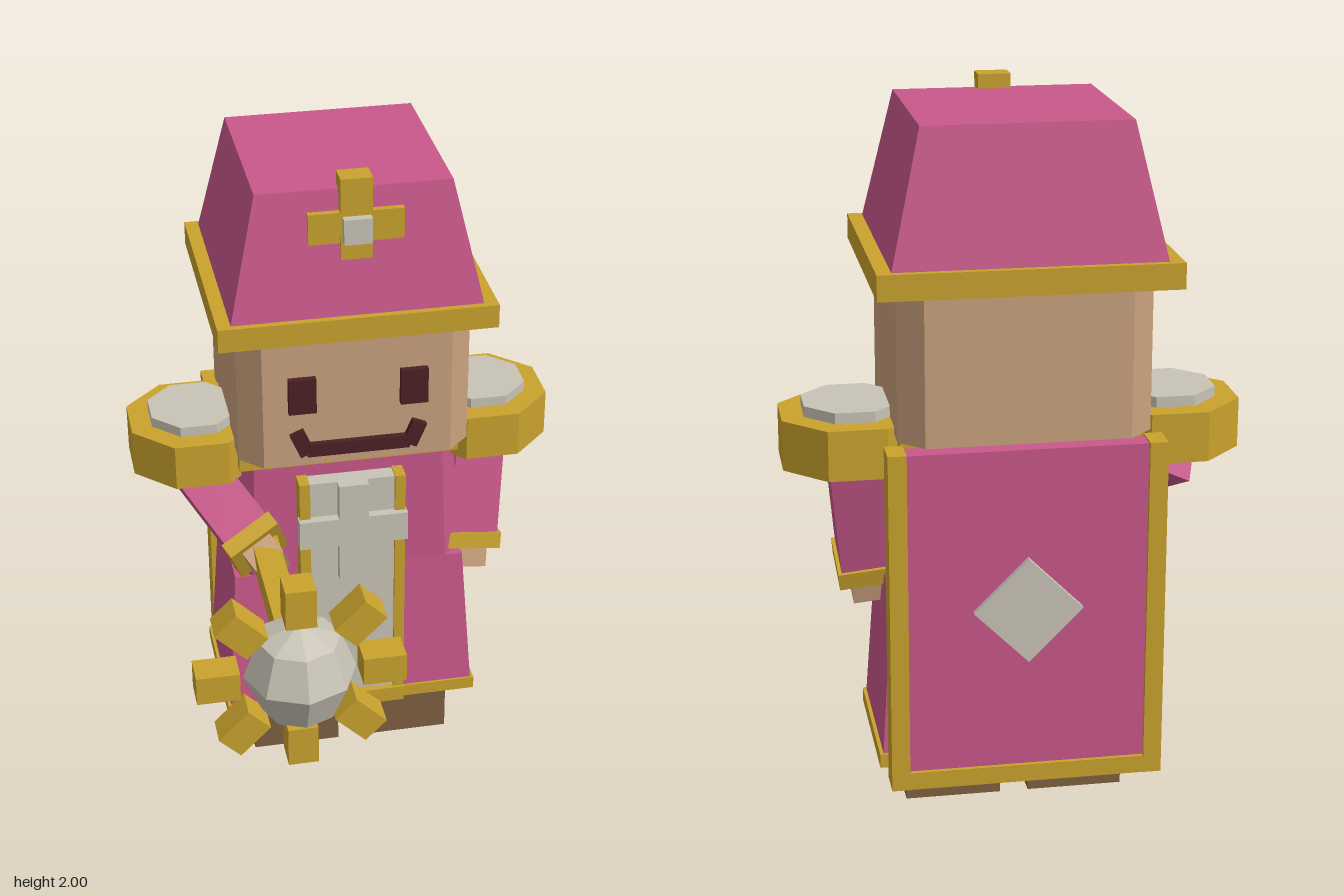
import * as THREE from 'three';

const mat = (name, color) => {
  const m = new THREE.MeshStandardMaterial({ color });
  m.name = name;
  return m;
};

export function createModel() {
  const pink = mat('pink cloth', 0xc8588a);
  const gold = mat('gold trim', 0xc9a22d);
  const silver = mat('silver', 0xc8c3b6);
  const skin = mat('skin', 0xc9a17d);
  const brown = mat('brown leather', 0x7d6040);
  const dark = mat('dark face paint', 0x4a2024);

  const model = new THREE.Group();
  model.name = 'mitredFigure';

  const add = (name, geo, material, parent = model) => {
    const m = new THREE.Mesh(geo, material);
    m.name = name;
    parent.add(m);
    return m;
  };
  // box from its minimum and maximum along each axis
  const box = (name, material, x0, x1, y0, y1, z0, z1, parent = model) => {
    const m = add(name, new THREE.BoxGeometry(x1 - x0, y1 - y0, z1 - z0), material, parent);
    m.position.set((x0 + x1) / 2, (y0 + y1) / 2, (z0 + z1) / 2);
    return m;
  };
  // narrow a geometry linearly towards its top
  const taper = (geo, sx, sz, h) => {
    const p = geo.attributes.position;
    for (let i = 0; i < p.count; i++) {
      const t = p.getY(i) / h + 0.5;
      p.setX(i, p.getX(i) * (1 + (sx - 1) * t));
      p.setZ(i, p.getZ(i) * (1 + (sz - 1) * t));
    }
    geo.computeVertexNormals();
    return geo;
  };
  // upright block with its four vertical edges cut off
  const cutBlock = (w, h, d, c) => {
    const a = w / 2, b = d / 2;
    const s = new THREE.Shape([[a, -b + c], [a, b - c], [a - c, b], [-a + c, b], [-a, b - c],
      [-a, -b + c], [-a + c, -b], [a - c, -b]].map(q => new THREE.Vector2(...q)));
    return new THREE.ExtrudeGeometry(s, { depth: h, bevelEnabled: false })
      .translate(0, 0, -h / 2).rotateX(-Math.PI / 2);
  };
  const flat = geo => {
    const g = geo.toNonIndexed();
    g.computeVertexNormals();
    return g;
  };

  // hat
  box('hatBrim', gold, -0.4, 0.4, 1.53, 1.6, -0.71, 0);
  add('hatCrown', taper(new THREE.BoxGeometry(0.72, 0.36, 0.67), 0.77, 0.82, 0.36), pink)
    .position.set(0, 1.78, -0.355);
  box('hatCrossUpright', gold, -0.045, 0.045, 1.76, 2, -0.112, -0.045);
  box('hatCrossBar', gold, -0.135, 0.135, 1.81, 1.9, -0.07, -0.05);
  box('hatGem', silver, -0.04, 0.04, 1.815, 1.89, -0.06, -0.02);

  // head and face
  add('head', cutBlock(0.68, 0.41, 0.635, 0.065), skin).position.set(0, 1.325, -0.3525);
  for (const s of [-1, 1]) {
    box('eye', dark, s * 0.1625 - 0.04, s * 0.1625 + 0.04, 1.3, 1.41, -0.04, -0.015);
    const corner = box('mouthCorner', dark, s * 0.165 - 0.022, s * 0.165 + 0.022,
      1.16, 1.238, -0.04, -0.0155);
    corner.rotation.z = -s * 0.4;
  }
  box('mouth', dark, -0.15, 0.15, 1.155, 1.195, -0.04, -0.015);

  // robe
  box('collar', gold, -0.33, 0.33, 1.04, 1.11, -0.575, -0.16);
  add('chest', taper(cutBlock(0.7, 0.4, 0.365, 0.05), 0.95, 0.98, 0.4), pink)
    .position.set(0, 0.85, -0.35);
  add('skirt', taper(new THREE.BoxGeometry(0.77, 0.46, 0.425), 0.92, 0.86, 0.46), pink)
    .position.set(0, 0.43, -0.35);
  box('hem', gold, -0.395, 0.395, 0.16, 0.2, -0.57, -0.13);

  // front panel with its cross
  box('frontPanel', silver, -0.13, 0.13, 0.18, 0.995, -0.18, -0.12);
  for (const s of [-1, 1])
    box('frontPanelEdge', gold, s * 0.145 - 0.016, s * 0.145 + 0.016, 0.18, 1, -0.18, -0.11);
  box('frontPanelHem', gold, -0.155, 0.16, 0.17, 0.22, -0.15, -0.1);
  box('chestCrossUpright', silver, -0.045, 0.045, 0.665, 0.995, -0.13, -0.09);
  box('chestCrossBar', silver, -0.165, 0.165, 0.785, 0.88, -0.13, -0.091);

  // cape
  box('cape', pink, -0.35, 0.35, 0.16, 1.1, -0.662, -0.6);
  for (const s of [-1, 1])
    box('capeEdge', gold, s * 0.35 - 0.025, s * 0.35 + 0.025, 0.14, 1.105, -0.675, -0.59);
  box('capeHem', gold, -0.34, 0.34, 0.14, 0.19, -0.674, -0.591);
  const diamond = box('capeDiamond', silver, -0.105, 0.105, 0.545, 0.755, -0.683, -0.65);
  diamond.rotation.z = Math.PI / 4;

  // legs, hollow-soled boots and shoulder guards
  for (const s of [-1, 1]) {
    const x = s * 0.175;
    box('leg', silver, x - 0.11, x + 0.11, 0.13, 0.3, -0.46, -0.24);
    box('boot', brown, x - 0.135, x + 0.135, 0.05, 0.14, -0.46, -0.16);
    const sole = new THREE.Shape([[-0.135, -0.15], [0.135, -0.15], [0.135, 0.15], [-0.135, 0.15]]
      .map(q => new THREE.Vector2(...q)));
    sole.holes.push(new THREE.Path([[-0.06, -0.07], [-0.06, 0.07], [0.06, 0.07], [0.06, -0.07]]
      .map(q => new THREE.Vector2(...q))));
    add('bootSole', new THREE.ExtrudeGeometry(sole, { depth: 0.05, bevelEnabled: false })
      .rotateX(-Math.PI / 2), brown).position.set(x, 0, -0.31);

    const octagon = (apothem, h) => {
      const r = apothem / Math.cos(Math.PI / 8);
      return flat(new THREE.CylinderGeometry(r, r, h, 8).rotateY(Math.PI / 8));
    };
    add('shoulderGuard', octagon(0.192, 0.14), gold).position.set(s * 0.438, 1.07, -0.357);
    add('shoulderDisc', octagon(0.13, 0.04), silver).position.set(s * 0.438, 1.15, -0.357);
  }

  // arms hang down -y, then swing towards the hand
  const arm = (name, from, to) => {
    const g = new THREE.Group();
    g.name = name;
    const a = new THREE.Vector3(...from);
    const dir = new THREE.Vector3(...to).sub(a).normalize();
    g.position.copy(a);
    g.quaternion.setFromUnitVectors(new THREE.Vector3(0, -1, 0), dir);
    box('sleeve', pink, -0.075, 0.075, -0.33, 0.02, -0.085, 0.085, g);
    box('cuff', gold, -0.085, 0.085, -0.37, -0.32, -0.095, 0.095, g);
    box('hand', skin, -0.05, 0.05, -0.44, -0.36, -0.07, 0.07, g);
    model.add(g);
  };
  arm('leftArm', [0.43, 1.0, -0.355], [0.385, 0.56, -0.255]);
  arm('rightArm', [-0.455, 0.98, -0.35], [-0.28, 0.81, -0.04]);

  // mace: handle, faceted ball and a ring of eight studs
  box('maceHandle', gold, -0.317, -0.238, 0.795, 0.87, -0.07, 0.375);
  const mace = new THREE.Group();
  mace.name = 'maceHead';
  mace.position.set(-0.278, 0.83, 0.555);
  model.add(mace);
  const profile = [[0, -0.115], [0.108, -0.115], [0.157, 0], [0.115, 0.111], [0, 0.157]]
    .map(q => new THREE.Vector2(...q));
  add('maceBall', flat(new THREE.LatheGeometry(profile, 8)), silver, mace);
  for (let i = 0; i < 8; i++) {
    const a = i * Math.PI / 4;
    const stud = add('maceStud', new THREE.BoxGeometry(0.12, 0.085, 0.088), gold, mace);
    stud.position.set(Math.cos(a) * 0.23, Math.sin(a) * 0.23, 0);
    stud.rotation.z = a;
  }
  return model;
}
